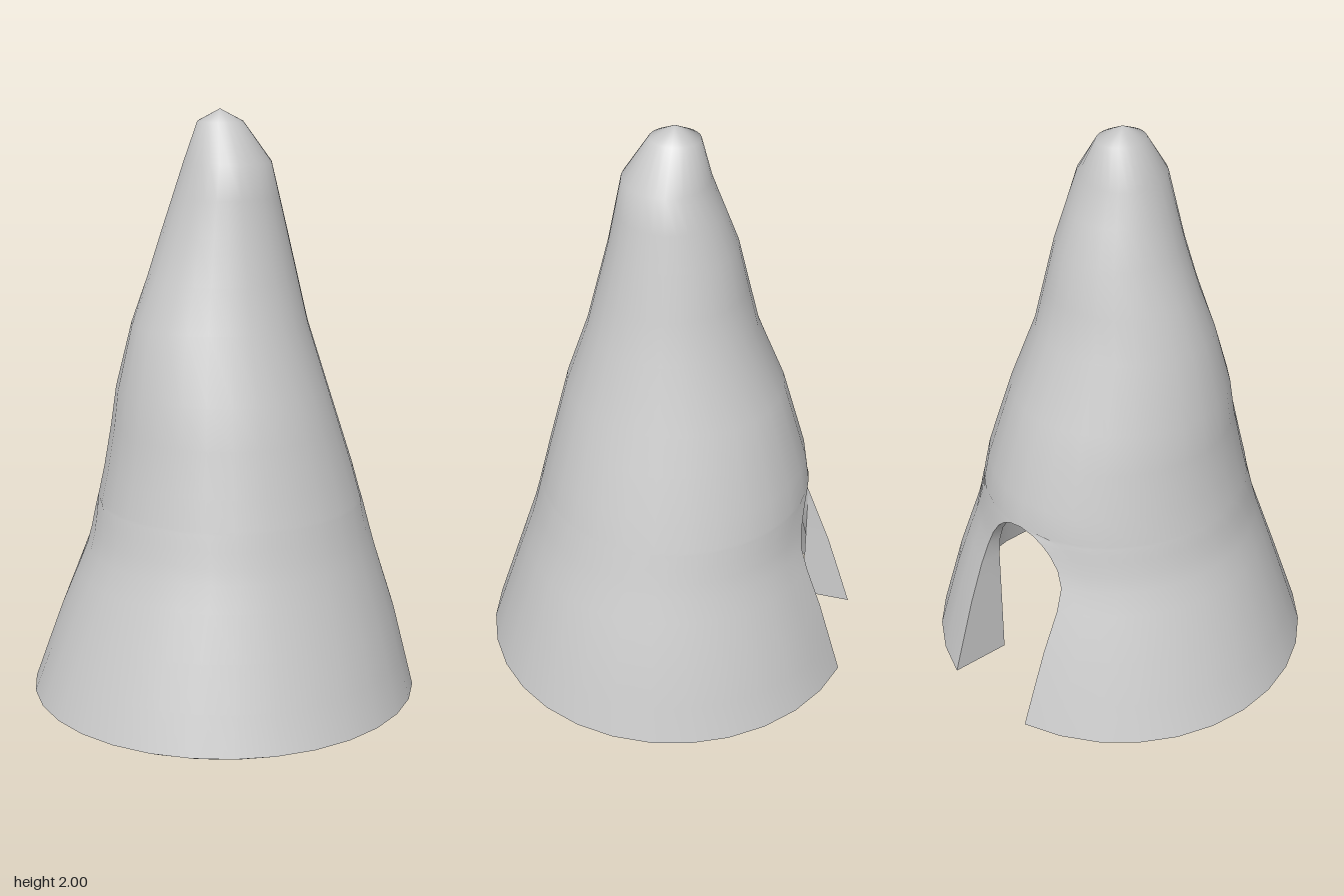
import * as THREE from 'three';
import { mergeVertices } from 'three/addons/utils/BufferGeometryUtils.js';

// Silhouette by height: y, reach to -x, +x, +z (front), -z (back)
const PROFILE = [
  [0, 0.665, 0.665, 0.66, 0.66], [0.02, 0.665, 0.66, 0.66, 0.66],
  [0.3, 0.565, 0.59, 0.57, 0.58], [0.55, 0.465, 0.51, 0.49, 0.495],
  [0.8, 0.41, 0.44, 0.43, 0.46], [1.08, 0.36, 0.35, 0.36, 0.375],
  [1.3, 0.3, 0.28, 0.285, 0.28], [1.6, 0.21, 0.21, 0.21, 0.21],
  [1.83, 0.135, 0.155, 0.165, 0.12], [1.96, 0.08, 0.07, 0.08, 0.085],
  [2, 0, 0, 0, 0],
];
const WALL = 0.04, COLUMNS = 28;
const DOOR_X = -0.06, DOOR_HALF = 0.182, DOOR_TOP = 0.7, SPRING = 0.45;
const DOOR_ROWS = [0.02, 0.15, 0.3, 0.45, 0.53, 0.59, 0.64, 0.67, 0.69, 0.7];
const UPPER_ROWS = [0.8, 0.95, 1.08, 1.3, 1.45, 1.6, 1.72, 1.83, 1.96, 2];
const FLAP_Z = -0.44;

function reach(y) {
  let i = 0;
  while (i < PROFILE.length - 2 && y > PROFILE[i + 1][0]) i++;
  const a = PROFILE[i], b = PROFILE[i + 1];
  const t = (y - a[0]) / (b[0] - a[0]);
  return [1, 2, 3, 4].map((k) => THREE.MathUtils.lerp(a[k], b[k], t));
}

// Wall point; angle 0 is the back, increasing towards +x
function wallPoint(angle, y, inset, closed) {
  const [nx, px, pz, nz] = reach(y);
  const s = Math.sin(angle), c = Math.cos(angle);
  // gentle swelling on the front right at mid height
  const swell = 1 + 0.09 * Math.exp(-(((y - 1.25) / 0.18) ** 2)) * Math.max(0, -s * 0.87 - c * 0.5) ** 4;
  const r = (v) => (closed ? 0 : Math.max(v * swell - inset, 0));
  return new THREE.Vector3(s * r(s < 0 ? nx : px) - 0.015 * Math.max(0, y - 1.9) * 10, y, -c * r(c > 0 ? nz : pz));
}

// Half width of the arched doorway at height y
function doorHalf(y, half, top, spring) {
  if (y >= top - 1e-6) return 0;
  if (y <= spring) return half;
  return half * Math.sqrt(1 - ((y - spring) / (top - spring)) ** 2);
}

// Surface through rows of points
function loft(rows, weld = false) {
  const n = rows[0].length, index = [];
  for (let i = 0; i < rows.length - 1; i++) {
    for (let j = 0; j < n - 1; j++) {
      const a = i * n + j, b = a + n;
      index.push(a, a + 1, b, a + 1, b + 1, b);
    }
  }
  let g = new THREE.BufferGeometry().setFromPoints(rows.flat());
  g.setIndex(index);
  if (weld) g = mergeVertices(g, 1e-5);
  g.computeVertexNormals();
  return g;
}

// Rows running round the wall from the +x door edge to the -x door edge
function shellRows(inset) {
  const outer = inset === 0;
  const grow = outer ? 0 : WALL;
  const top = DOOR_TOP + grow, k = top / DOOR_TOP;
  const doorYs = DOOR_ROWS.map((y, i) => (outer ? y : i === 0 ? 0 : y * k));
  const ys = [...doorYs, ...(outer ? UPPER_ROWS : [...UPPER_ROWS.slice(0, -2), 1.92])];
  return ys.map((y, i) => {
    const half = doorHalf(y, DOOR_HALF + grow, top, SPRING * k);
    const [nx, px] = reach(Math.min(y, top)).map((v) => v - inset);
    const edge = (x) => Math.asin(x / (x < 0 ? nx : px));
    const start = edge(DOOR_X + half), end = edge(DOOR_X - half) + Math.PI * 2;
    const row = [];
    for (let j = 0; j <= COLUMNS; j++) {
      row.push(wallPoint(start + ((end - start) * j) / COLUMNS, y, inset, i === ys.length - 1));
    }
    return row;
  });
}

export function createModel() {
  const group = new THREE.Group();
  const material = new THREE.MeshStandardMaterial({ color: 0xcccccc, side: THREE.DoubleSide });
  const add = (name, geometry) => {
    const mesh = new THREE.Mesh(geometry, material);
    mesh.name = name;
    group.add(mesh);
  };

  // Cone walls, with the doorway left open at the back
  const outer = shellRows(0), inner = shellRows(WALL);
  add('outerWall', loft(outer.map((r) => [...r].reverse()), true));
  add('innerWall', loft(inner, true));

  // Underside rim
  add('bottomRim', loft([outer[0], inner[0]]));

  // Doorway contour: up the +x side, over the arch, down the -x side
  const n = DOOR_ROWS.length;
  const contour = (rows) => [
    ...rows.slice(0, n).map((r) => r[0]),
    ...rows.slice(0, n - 1).reverse().map((r) => r[COLUMNS]),
  ];
  const edgeOut = contour(outer), edgeIn = contour(inner);
  const toDepth = (p) => new THREE.Vector3(p.x, p.y, Math.max(FLAP_Z, p.z));
  const flapOut = edgeOut.map(toDepth), flapIn = edgeIn.map(toDepth);

  // Door lining folded inwards, its inner lip and its hidden side
  add('doorLining', loft([edgeOut, flapOut]));
  add('doorLip', loft([flapOut, flapIn]));
  add('doorLiningBack', loft([flapIn, edgeIn]));

  // Feet closing the lining underneath
  for (const i of [0, edgeOut.length - 1]) {
    add('doorFoot', loft([[edgeOut[i], flapOut[i]], [edgeIn[i], flapIn[i]]]));
  }
  return group;
}
